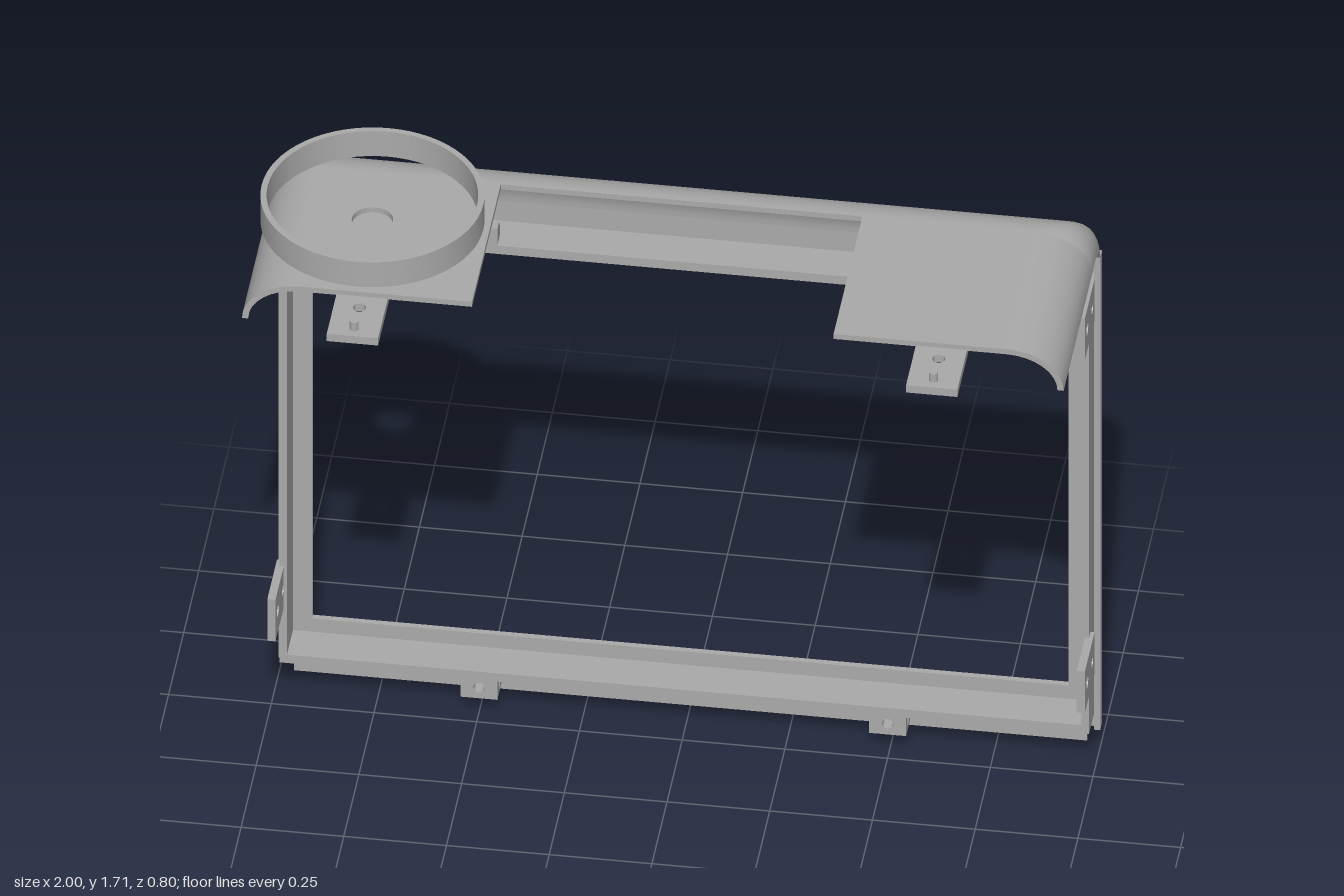
import * as THREE from 'three';
import { toCreasedNormals } from 'three/addons/utils/BufferGeometryUtils.js';

const T = 0.015; // shell thickness

// rectangle outline
const rect = (x0, y0, x1, y1, Kind = THREE.Shape) =>
  new Kind([[x0, y0], [x1, y0], [x1, y1], [x0, y1]].map(p => new THREE.Vector2(...p)));

// plate with round holes, extruded along z
function slab(shape, depth, holes = []) {
  for (const [x, y, r] of holes) {
    const h = new THREE.Path();
    h.absarc(x, y, r, 0, Math.PI * 2, true);
    shape.holes.push(h);
  }
  const g = new THREE.ExtrudeGeometry(shape, { depth, bevelEnabled: false, curveSegments: 24 });
  return toCreasedNormals(g, 0.6);
}

// hood bend: a quarter roll whose rounded ends taper toward the back
function bendGeometry() {
  const S = 20, N = 8, pos = [], idx = [];
  const section = (a, inset) => {
    const W = 0.14 - 0.12 * Math.sin(a) - inset;
    const D = 0.11 - 0.08 * (1 - Math.cos(a)) - inset;
    const half = [];
    for (let k = 0; k <= N; k++) {
      const f = k / N * Math.PI / 2;
      const r = 0.16 - inset - D * (1 - Math.cos(f));
      half.push([1 - inset - W + W * Math.sin(f), 1.475 + r * Math.cos(a), -0.24 - r * Math.sin(a)]);
    }
    return [...half.map(([x, y, z]) => [-x, y, z]).reverse(), ...half];
  };
  let count = 0;
  for (let i = 0; i <= S; i++) {
    const a = i / S * Math.PI / 2;
    const ring = [...section(a, 0), ...section(a, T).reverse()];
    count = ring.length;
    pos.push(...ring.flat());
  }
  for (let i = 0; i < S; i++) {
    for (let j = 0; j < count; j++) {
      const a = i * count + j, b = i * count + (j + 1) % count;
      idx.push(a, b, a + count, b, b + count, a + count);
    }
  }
  // front edge
  for (let j = 0; j < count / 2 - 1; j++) {
    const p = count - 1 - j;
    idx.push(j, p, p - 1, j, p - 1, j + 1);
  }
  const g = new THREE.BufferGeometry();
  g.setAttribute('position', new THREE.Float32BufferAttribute(pos, 3));
  g.setIndex(idx);
  return toCreasedNormals(g, 0.6);
}

export function createModel() {
  const model = new THREE.Group();
  const grey = new THREE.MeshStandardMaterial({ color: 0xaaaaaa });
  grey.name = 'grey';
  const add = (name, geo, x = 0, y = 0, z = 0) => {
    const m = new THREE.Mesh(geo, grey);
    m.name = name;
    m.position.set(x, y, z);
    model.add(m);
    return m;
  };
  const box = (name, x0, x1, y0, y1, z0, z1) =>
    add(name, new THREE.BoxGeometry(x1 - x0, y1 - y0, z1 - z0), (x0 + x1) / 2, (y0 + y1) / 2, (z0 + z1) / 2);

  // back plate with window, and thin bottom tongue
  const plate = rect(-1, 0.05, 1, 1.475);
  plate.holes.push(rect(-0.92, 0.165, 0.92, 1.345, THREE.Path));
  add('backPlate', slab(plate, T), 0, 0, -0.4);
  box('bottomTongue', -0.965, 0.965, 0, 0.05, -0.4, -0.39);

  // raised frame wall around the window
  const wall = rect(-0.985, 0.1, 0.985, 1.415);
  wall.holes.push(rect(-0.967, 0.125, 0.967, 1.39, THREE.Path));
  add('frameWall', slab(wall, 0.1), 0, 0, -0.385);

  add('hoodBend', bendGeometry());

  for (const s of [-1, 1]) {
    const side = s < 0 ? 'right' : 'left';
    // plate edge lip
    box(side + 'EdgeLip', s * 0.9925 - 0.0075, s * 0.9925 + 0.0075, 0.05, 1.475, -0.385, -0.37);

    // flat top wing
    const wing = rect(Math.min(s * 0.44, s * 0.86), -0.24, Math.max(s * 0.44, s * 0.86), 0.235);
    const wingGeo = slab(wing, T, s < 0 ? [[-0.725, -0.055, 0.05]] : []);
    add(side + 'Wing', wingGeo.rotateX(Math.PI / 2), 0, 1.635, 0);

    // rounded wing skirt
    const outer = [], inner = [];
    for (let k = 0; k <= 8; k++) {
      const f = k / 8 * Math.PI / 2, sn = Math.sin(f), c = Math.cos(f);
      outer.push(new THREE.Vector2(s * (0.86 + 0.14 * sn), 1.525 + 0.11 * c));
      inner.unshift(new THREE.Vector2(s * (0.86 + 0.125 * sn), 1.525 + 0.095 * c));
    }
    add(side + 'Skirt', slab(new THREE.Shape([...outer, ...inner]), 0.475), 0, 0, -0.24);

    // front tab with hole and locating pin
    const tx = s < 0 ? -0.7075 : 0.7025;
    const tab = slab(rect(-0.0625, 0.15, 0.0625, 0.395), 0.022, [[0, 0.28, 0.016]]);
    add(side + 'FrontTab', tab.rotateX(Math.PI / 2), tx, 1.622, 0);
    add(side + 'TabPin', new THREE.CylinderGeometry(0.011, 0.011, 0.03, 20), tx, 1.632, 0.365);

    // side mounting ears, drawn in (-z, y) and turned to face sideways
    for (const y of [0.265, 1.33]) {
      const ear = slab(rect(0.15, y, 0.31, y + 0.125), 0.02,
        [[0.19, y + 0.0625, 0.016], [0.272, y + 0.0625, 0.013]]);
      add(side + 'Ear', ear.rotateY(Math.PI / 2), s * 0.985 - 0.01, 0, 0);
    }

    // clips above and below the frame
    const cx = s < 0 ? -0.5 : 0.495;
    for (const y of [0.05, 1.41]) {
      add(side + 'Clip', slab(rect(-0.045, y, 0.045, y + 0.055), 0.025, [[0, y + 0.0275, 0.014]]), cx, 0, -0.31);
    }
    box(side + 'LowerClipBase', cx - 0.045, cx + 0.045, 0.045, 0.058, -0.385, -0.285);
    box(side + 'LowerClipBack', cx - 0.045, cx + 0.045, 0.05, 0.1, -0.385, -0.33);
    box(side + 'UpperClipBack', cx - 0.045, cx + 0.045, 1.415, 1.455, -0.33, -0.31);
  }

  // round collar standing on the right wing
  const ring = [[0.255, 0], [0.27, 0], [0.27, 0.075], [0.255, 0.075], [0.255, 0]]
    .map(p => new THREE.Vector2(...p));
  add('collar', toCreasedNormals(new THREE.LatheGeometry(ring, 64), 0.6), -0.725, 1.635, -0.055);

  return model;
}
